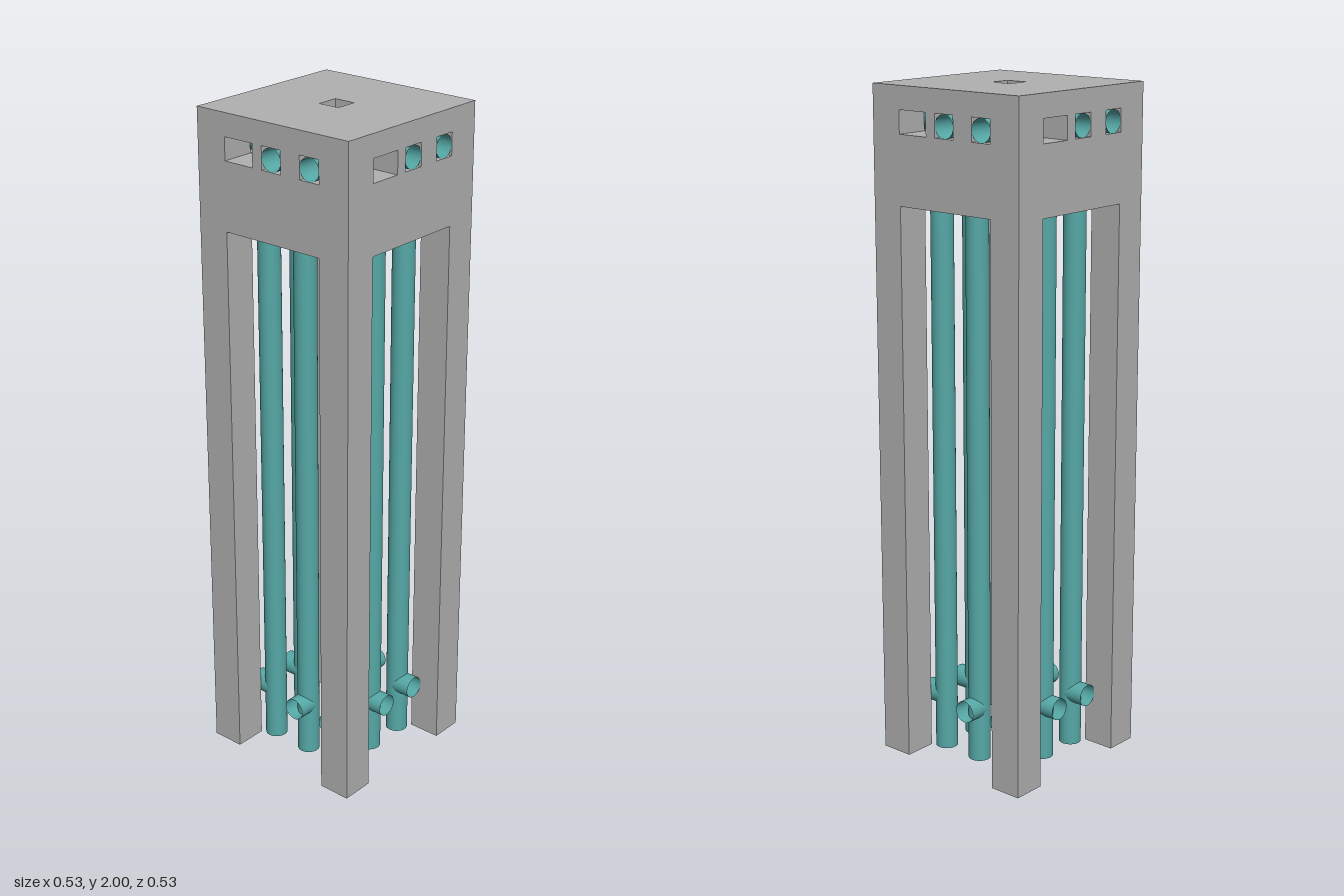
import * as THREE from 'three';

const U = 1 / 15; // building module: the tower is 8 x 30 x 8 modules

const concrete = new THREE.MeshStandardMaterial({ color: 0xb0b0b0 });
concrete.name = 'concrete grey';
const teal = new THREE.MeshStandardMaterial({ color: 0x55a8a6, side: THREE.DoubleSide });
teal.name = 'pipe teal';

const points = (list) => list.map(([x, y]) => new THREE.Vector2(x, y));
const rect = (x0, y0, x1, y1) => points([[x0, y0], [x1, y0], [x1, y1], [x0, y1]]);

function extrude(name, outline, holes, depth) {
  const shape = new THREE.Shape(outline);
  for (const h of holes) shape.holes.push(new THREE.Path(h));
  const mesh = new THREE.Mesh(new THREE.ExtrudeGeometry(shape, { depth, bevelEnabled: false }), concrete);
  mesh.name = name;
  return mesh;
}

// Open-ended tube, one module in diameter
function tube(name, length) {
  const mesh = new THREE.Mesh(new THREE.CylinderGeometry(0.5, 0.5, length, 32, 1, true), teal);
  mesh.name = name;
  return mesh;
}

// Vertical pipe with a low outlet and a high outlet through the wall window
function pipe(x) {
  const g = new THREE.Group();
  g.name = 'pipe';
  const riser = tube('riser', 29);
  riser.position.set(x, 14.5, 2);
  g.add(riser);
  for (const [name, y, end] of [['lowerOutlet', 2.5, 3], ['upperOutlet', 28.5, 3.99]]) {
    const outlet = tube(name, end - 2);
    outlet.rotation.x = Math.PI / 2;
    outlet.position.set(x, y, (end + 2) / 2);
    g.add(outlet);
  }
  return g;
}

export function createModel() {
  const tower = new THREE.Group();
  tower.name = 'pipeTower';

  // Four identical sides, each a leg, a lintel with windows, and two pipes
  for (let i = 0; i < 4; i++) {
    const side = new THREE.Group();
    side.name = 'side';
    const outline = points([
      [-4, 0], [-2.5, 0], [-2.5, 25], [2.5, 25], [2.5, 28],
      [1.5, 28], [1.5, 29], [2.5, 29], [2.5, 30], [-4, 30],
    ]);
    const wall = extrude('legAndLintel', outline, [rect(-2.5, 28, -1, 29), rect(-0.5, 28, 0.5, 29)], 1.5);
    wall.position.z = 2.5;
    side.add(wall, pipe(0), pipe(2));
    side.rotation.y = i * Math.PI / 2;
    tower.add(side);
  }

  // Roof slab with its square opening
  const roof = extrude('roof', rect(-2.5, -2.5, 2.5, 2.5), [rect(-0.5, -0.5, 0.5, 0.5)], 1);
  roof.rotation.x = -Math.PI / 2;
  roof.position.y = 29;
  tower.add(roof);

  tower.scale.setScalar(U);
  const model = new THREE.Group();
  model.name = 'model';
  model.add(tower);
  return model;
}
